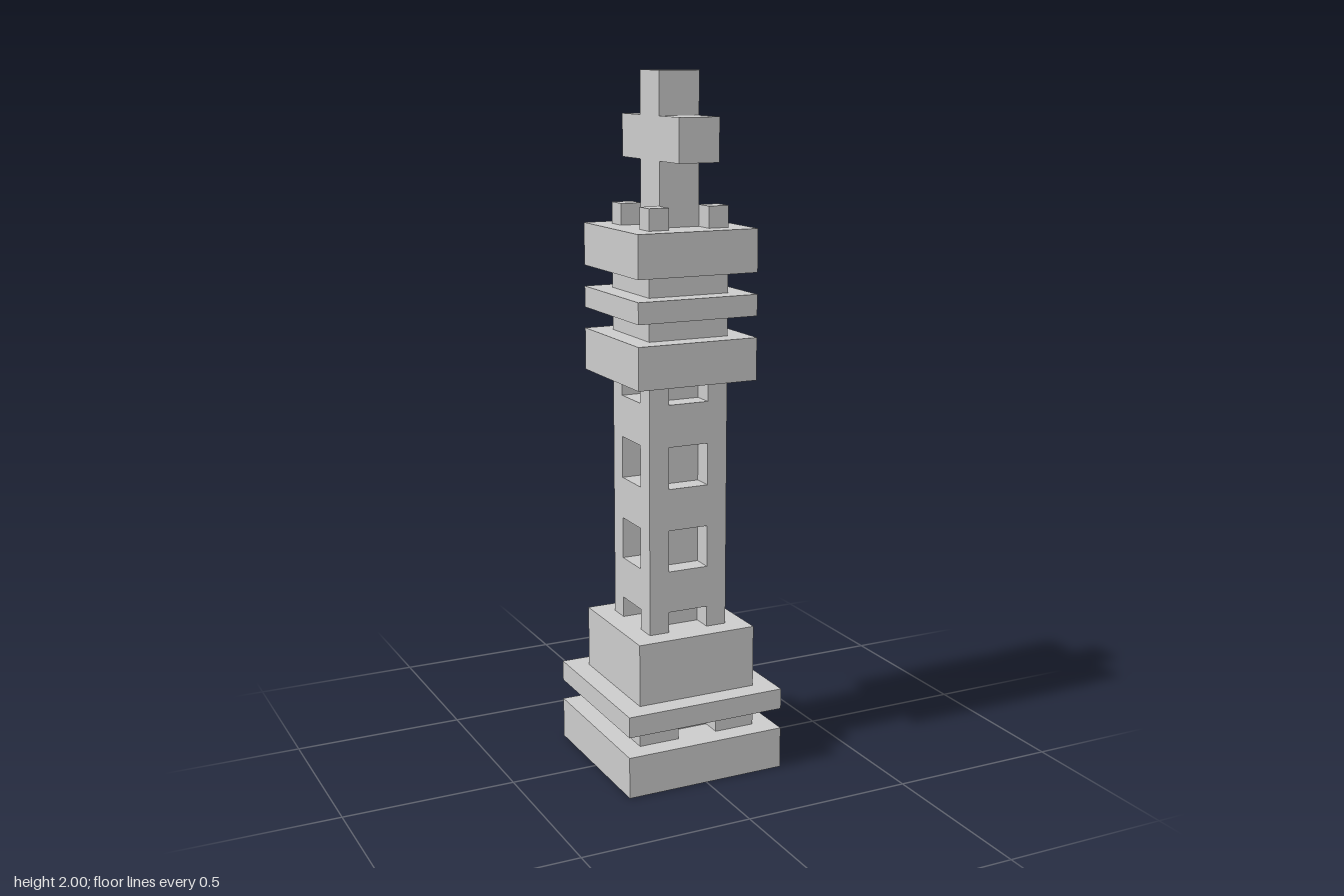
import * as THREE from 'three';

const U = 2 / 33; // one block unit; the tower is 33 units tall

export function createModel() {
  const model = new THREE.Group();
  model.name = 'tower';
  const material = new THREE.MeshStandardMaterial({ color: 0xcccccc, flatShading: true });

  // Box in block units, from height y0 to y1, centred on (x, z)
  function block(parent, name, w, d, y0, y1, x = 0, z = 0) {
    const mesh = new THREE.Mesh(new THREE.BoxGeometry(w * U, (y1 - y0) * U, d * U), material);
    mesh.position.set(x * U, ((y0 + y1) / 2) * U, z * U);
    mesh.name = name;
    parent.add(mesh);
  }

  // Four equal square blocks, one at each corner
  function corners(parent, name, size, offset, y0, y1) {
    for (const x of [-offset, offset])
      for (const z of [-offset, offset]) block(parent, name, size, size, y0, y1, x, z);
  }

  function group(name) {
    const g = new THREE.Group();
    g.name = name;
    model.add(g);
    return g;
  }

  // Stepped base with a notched layer between its two slabs
  const base = group('base');
  block(base, 'baseSlab', 8, 8, 0, 2);
  block(base, 'baseCore', 4, 4, 2, 3);
  corners(base, 'baseFoot', 2, 2, 2, 3);
  block(base, 'basePlate', 8, 8, 3, 4);
  block(base, 'plinth', 6, 6, 4, 7);

  // Shaft: solid bands alternate with rows of recessed windows
  const shaft = group('shaft');
  for (const [y0, y1] of [[8, 10], [12, 14], [16, 18]]) block(shaft, 'shaftBand', 4, 4, y0, y1);
  for (const [y0, y1] of [[7, 8], [10, 12], [14, 16], [18, 19]]) {
    block(shaft, 'windowBack', 2, 2, y0, y1);
    corners(shaft, 'cornerPost', 1, 1.5, y0, y1);
  }

  // Head: wide slabs separated by narrow necks
  const head = group('head');
  block(head, 'lowerSlab', 6, 6, 19, 21);
  block(head, 'lowerNeck', 4, 4, 21, 22);
  block(head, 'middlePlate', 6, 6, 22, 23);
  block(head, 'upperNeck', 4, 4, 23, 24);
  block(head, 'upperSlab', 6, 6, 24, 26);
  corners(head, 'battlement', 1, 1.5, 26, 27);

  // Cross on top, its arms running front to back
  const cross = group('cross');
  block(cross, 'crossUpright', 2, 2, 26, 33);
  for (const s of [-1, 1]) block(cross, 'crossArm', 2, 2, 29, 31, 0, 2 * s);

  return model;
}
